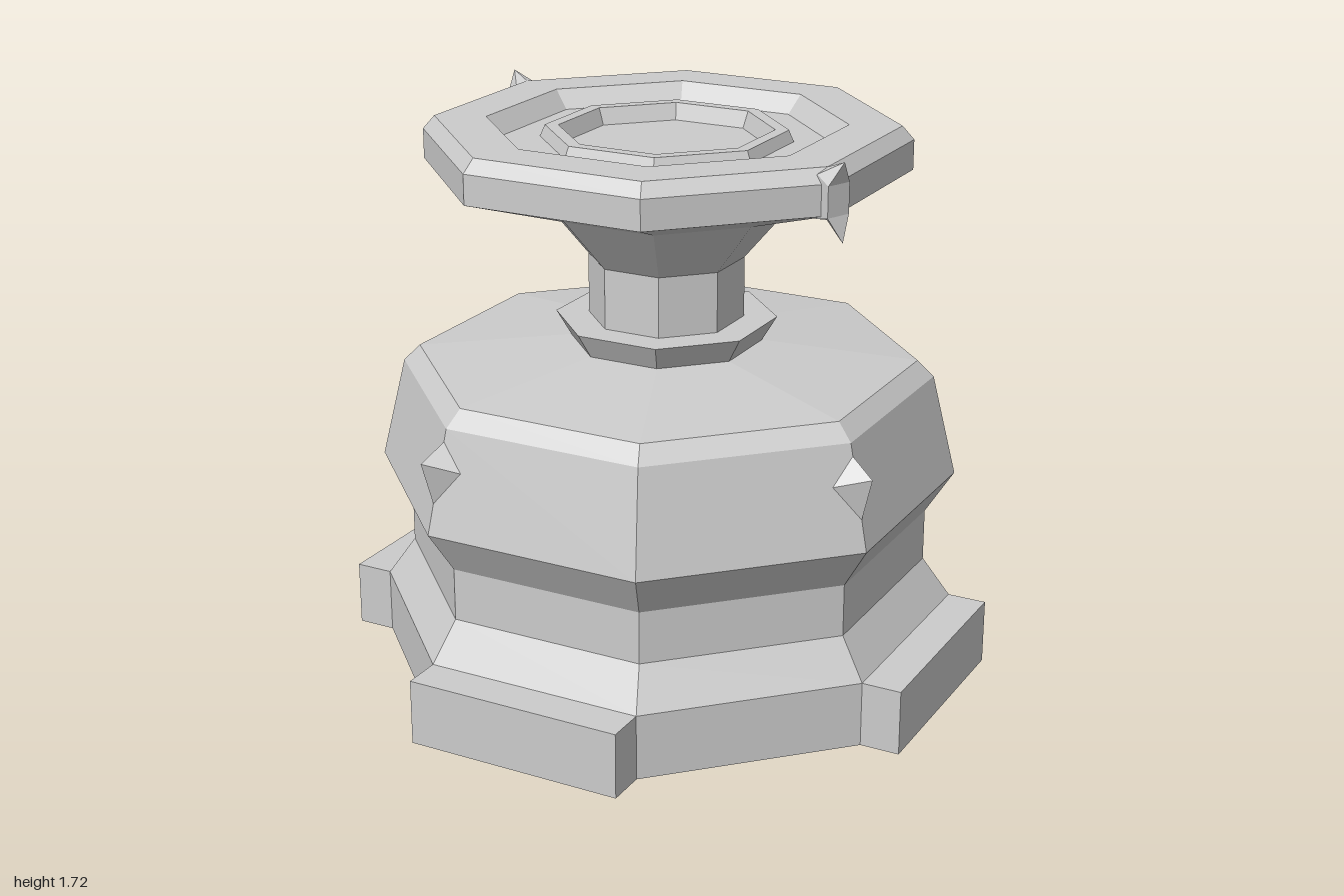
import * as THREE from 'three';

const SIDES = 8;
const material = new THREE.MeshStandardMaterial({ color: 0xcccccc, flatShading: true });

function addMesh(parent, geometry, name) {
  const mesh = new THREE.Mesh(geometry, material);
  mesh.name = name;
  parent.add(mesh);
  return mesh;
}

// Octagonal turned part; profile is [radius, height] with a corner on each axis
function turned(profile) {
  return new THREE.LatheGeometry(profile.map(([r, y]) => new THREE.Vector2(r, y)), SIDES);
}

// Small faceted solid from corner points and face loops (counter-clockwise from outside)
function faceted(points, faces) {
  const positions = [];
  for (const face of faces) {
    for (let i = 1; i < face.length - 1; i++) {
      positions.push(...points[face[0]], ...points[face[i]], ...points[face[i + 1]]);
    }
  }
  const geometry = new THREE.BufferGeometry();
  geometry.setAttribute('position', new THREE.Float32BufferAttribute(positions, 3));
  geometry.computeVertexNormals();
  return geometry;
}

export function createModel() {
  const model = new THREE.Group();
  model.name = 'pedestal';

  // Stepped body with a shallow sloping shoulder
  addMesh(model, turned([
    [0, 0], [0.885, 0], [0.885, 0.2], [0.8, 0.32], [0.8, 0.48], [0.885, 0.61],
    [0.81, 0.92], [0.76, 0.97], [0.29, 1.02],
  ]), 'body');

  // Collar and neck
  addMesh(model, turned([[0.29, 1.02], [0.335, 1.095], [0.235, 1.095]]), 'collar');
  addMesh(model, turned([[0.235, 1.095], [0.235, 1.28]]), 'neck');

  // Flared dish with a recessed top and a raised inner ring
  addMesh(model, turned([
    [0.235, 1.28], [0.38, 1.45], [0.725, 1.56], [0.725, 1.65], [0.69, 1.69], [0.535, 1.69],
    [0.485, 1.635], [0.375, 1.635], [0.36, 1.67], [0.32, 1.67], [0.3, 1.62], [0, 1.62],
  ]), 'dish');

  // Foot slabs on every other side of the base
  const apothem = 0.885 * Math.cos(Math.PI / SIDES);
  const sideLength = 2 * 0.885 * Math.sin(Math.PI / SIDES);
  const slab = new THREE.BoxGeometry(sideLength, 0.2, 0.12).translate(0, 0.1, apothem + 0.06);

  // Pyramid studs on the body corners that lie on the axes
  const stud = faceted([
    [0, 0.885, 0.815], [0, 0.695, 0.86], [-0.093, 0.79, 0.775], [0.093, 0.79, 0.775], [0, 0.835, 0.9],
  ], [[0, 2, 4], [2, 1, 4], [1, 3, 4], [3, 0, 4]]);

  for (let i = 0; i < 4; i++) {
    const turn = i * Math.PI / 2;
    addMesh(model, slab, 'footSlab').rotation.y = turn + Math.PI / SIDES;
    addMesh(model, stud, 'bodyStud').rotation.y = turn;
  }

  // Pointed clips on the left and right of the rim: outer hexagon, then inner corners
  const clip = faceted([
    [0, 1.715, 0.755], [-0.04, 1.65, 0.735], [-0.04, 1.56, 0.735],
    [0, 1.487, 0.755], [0.04, 1.56, 0.735], [0.04, 1.65, 0.735],
    [-0.04, 1.675, 0.69], [0.04, 1.675, 0.69], [-0.04, 1.55, 0.69], [0.04, 1.55, 0.69],
    [0, 1.69, 0.69], [0, 1.54, 0.69],
  ], [
    [0, 1, 5], [1, 2, 4, 5], [2, 3, 4],
    [0, 10, 6, 1], [0, 5, 7, 10],
    [1, 6, 8, 2], [5, 4, 9, 7],
    [2, 8, 11, 3], [3, 11, 9, 4],
    [10, 7, 9, 11, 8, 6],
  ]);
  for (const side of [1, -1]) {
    addMesh(model, clip, side > 0 ? 'rimClipLeft' : 'rimClipRight').rotation.y = side * Math.PI / 2;
  }

  return model;
}
